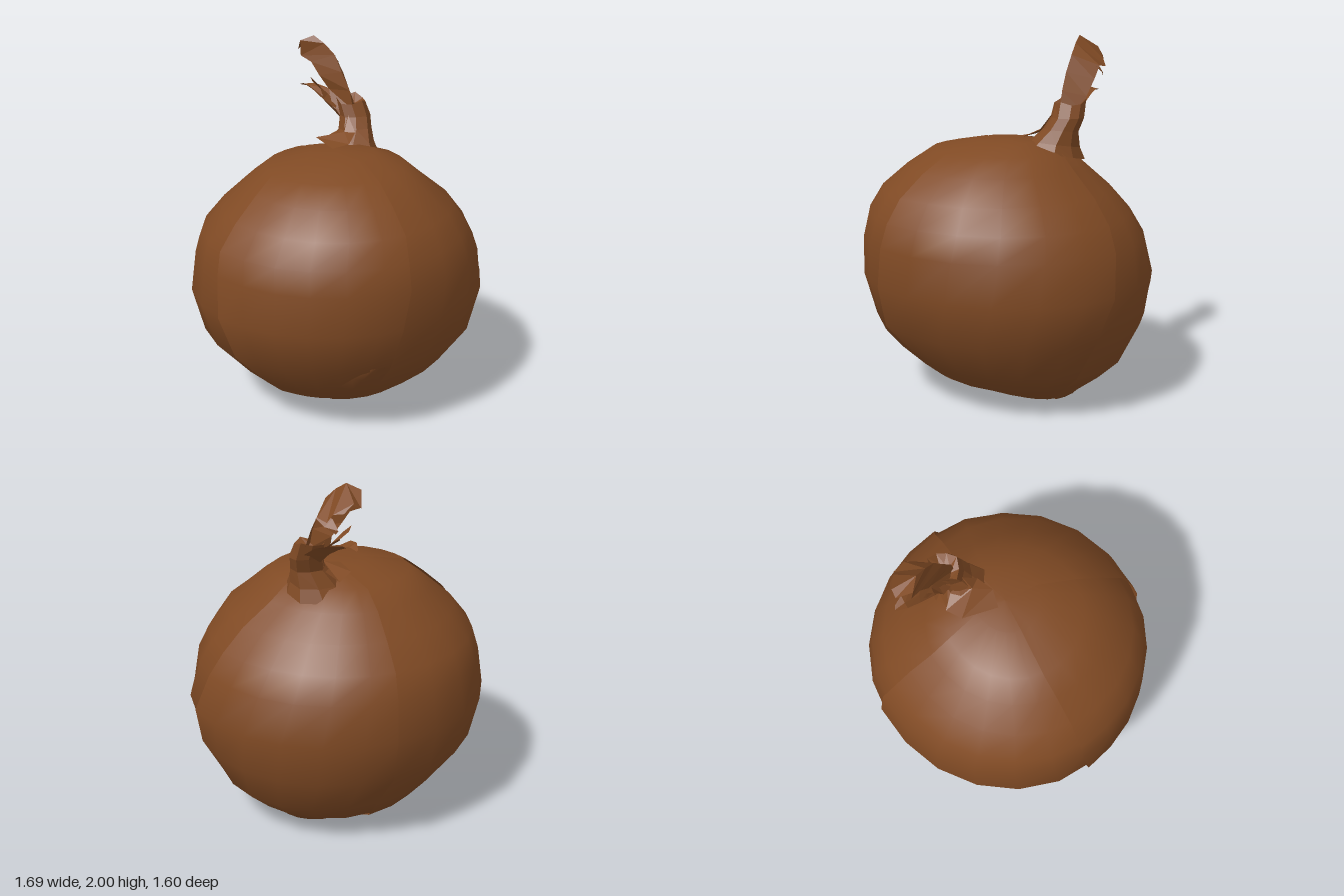
import * as THREE from 'three';

const skin = new THREE.MeshStandardMaterial({ color: 0x804a24, side: THREE.DoubleSide });
skin.name = 'brown onion skin';

// Bulb cross-sections: y, xMin, xMax, zMin, zMax
const RINGS = [
  [0.005, 0.1, 0.1, -0.05, -0.05],
  [0.01, -0.08, 0.39, -0.30, 0.10],
  [0.04, -0.32, 0.43, -0.35, 0.20],
  [0.13, -0.45, 0.55, -0.53, 0.41],
  [0.24, -0.57, 0.68, -0.62, 0.54],
  [0.46, -0.77, 0.79, -0.76, 0.73],
  [0.70, -0.84, 0.84, -0.80, 0.79],
  [0.92, -0.81, 0.78, -0.77, 0.79],
  [1.05, -0.78, 0.71, -0.70, 0.75],
  [1.18, -0.68, 0.60, -0.59, 0.68],
  [1.30, -0.54, 0.45, -0.46, 0.54],
  [1.39, -0.42, 0.35, -0.35, 0.40],
  [1.44, -0.17, 0.20, -0.16, 0.19],
  [1.445, 0.02, 0.02, 0, 0],
];

// Point on the bulb at a height and angle, pushed outwards by lift
function onBulb(y, angle, lift = 0) {
  let i = 0;
  while (i < RINGS.length - 2 && y > RINGS[i + 1][0]) i++;
  const a = RINGS[i], b = RINGS[i + 1];
  const t = (y - a[0]) / (b[0] - a[0]);
  const [, x0, x1, z0, z1] = a.map((v, k) => v + (b[k] - v) * t);
  const rx = (x1 - x0) / 2, rz = (z1 - z0) / 2;
  const k = rx > 0 ? lift : 0;
  return [(x0 + x1) / 2 + (rx + k) * Math.cos(angle), y, (z0 + z1) / 2 + (rz + k) * Math.sin(angle)];
}

// Surface through rows of points; flat gives faceted shading
function sheet(name, rows, flat = false) {
  const n = rows[0].length, index = [];
  for (let r = 0; r < rows.length - 1; r++) {
    for (let c = 0; c < n - 1; c++) {
      const a = r * n + c, b = a + n;
      index.push(a, b, a + 1, a + 1, b, b + 1);
    }
  }
  let geo = new THREE.BufferGeometry();
  geo.setAttribute('position', new THREE.Float32BufferAttribute(rows.flat(2), 3));
  geo.setIndex(index);
  if (flat) geo = geo.toNonIndexed();
  geo.computeVertexNormals();
  const mesh = new THREE.Mesh(geo, skin);
  mesh.name = name;
  return mesh;
}

export function createModel() {
  const onion = new THREE.Group();
  onion.name = 'onion';

  // Four overlapping skin panels, each seam given as [angle at bottom, angle at top]
  const H = Math.PI / 2;
  const seams = [[0.35, -0.35], [H + 0.38, H - 0.02], [2 * H - 0.3, 2 * H + 0.1], [3 * H, 3 * H + 0.05]];
  const SEG = 6;
  seams.forEach((s, p) => {
    const e = p < 3 ? seams[p + 1] : seams[0].map(v => v + 4 * H);
    const rows = RINGS.map(([y]) => {
      const t = y / 1.445, row = [];
      const from = s[0] + (s[1] - s[0]) * t - 0.06, to = e[0] + (e[1] - e[0]) * t;
      for (let i = 0; i <= SEG; i++) {
        const lift = i === 0 ? -0.008 : i === SEG ? 0.008 : 0;
        row.push(onBulb(y, from + (to - from) * i / SEG, lift));
      }
      return row;
    });
    onion.add(sheet('skinPanel' + (p + 1), rows));
  });

  // Torn skin low on the front: y, left angle, right angle, lift
  const tear = [
    [0.03, 2.0, 1.72, 0.006], [0.13, 2.25, 1.66, 0.012], [0.2, 2.35, 1.68, 0.02],
    [0.3, 2.2, 1.84, 0.03], [0.4, 2.08, 1.88, 0.025], [0.48, 1.95, 1.85, 0.006],
  ];
  onion.add(sheet('tornSkin', tear.map(([y, a, b, lift]) =>
    [0, 1, 2, 3].map(i => onBulb(y, a + (b - a) * i / 3, i % 3 ? lift : 0.004)))));

  // Pinched neck: centre x, y, z, half width x, half width z, slope of ring towards the back
  const neck = [
    [0.19, 1.36, -0.16, 0.18, 0.17, 0.2], [0.21, 1.42, -0.16, 0.14, 0.13, 0.16],
    [0.25, 1.50, -0.17, 0.10, 0.085, 0.1], [0.27, 1.57, -0.20, 0.095, 0.08, 0],
    [0.26, 1.645, -0.23, 0.09, 0.08, -0.1], [0.25, 1.62, -0.24, 0.05, 0.04, 0],
  ];
  const SIDES = 9;
  onion.add(sheet('neck', neck.map(([x, y, z, rx, rz, slope], r) => {
    const row = [];
    for (let i = 0; i <= SIDES; i++) {
      const a = -i / SIDES * Math.PI * 2;
      const k = 1 + (i % SIDES % 2 ? 0.07 : -0.04);
      const dz = rz * k * Math.sin(a);
      row.push([x + rx * k * Math.cos(a), y + slope * dz + (r === 4 && i % 3 === 1 ? 0.02 : 0), z + dz]);
    }
    return row;
  }), true));

  // Loose pointed fold of skin beside the neck
  onion.add(sheet('neckFold', [
    [[0.0, 1.447, -0.05], [0.03, 1.46, -0.25], [0.12, 1.43, -0.3]],
    [[0.1, 1.46, -0.03], [0.14, 1.5, -0.13], [0.18, 1.48, -0.24]],
    [[0.18, 1.5, -0.08], [0.19, 1.58, -0.16], [0.2, 1.58, -0.25]],
  ], true));

  // Dried leaves curling backwards: rows of left edge, middle, right edge
  onion.add(sheet('tallLeaf', [
    [[0.17, 1.6, -0.28], [0.24, 1.6, -0.18], [0.32, 1.6, -0.27]],
    [[0.18, 1.7, -0.33], [0.23, 1.71, -0.2], [0.31, 1.68, -0.31]],
    [[0.14, 1.78, -0.37], [0.21, 1.81, -0.25], [0.31, 1.77, -0.37]],
    [[0.12, 1.85, -0.42], [0.2, 1.9, -0.3], [0.3, 1.84, -0.42]],
    [[0.09, 1.88, -0.48], [0.17, 1.96, -0.36], [0.28, 1.83, -0.49]],
    [[0.08, 1.97, -0.47], [0.14, 2.0, -0.42], [0.25, 1.87, -0.5]],
    [[0.12, 1.9, -0.55], [0.16, 1.93, -0.55], [0.21, 1.88, -0.54]],
  ], true));
  onion.add(sheet('leafHook', [
    [[0.27, 1.86, -0.4], [0.3, 1.83, -0.4]],
    [[0.24, 1.84, -0.47], [0.28, 1.8, -0.46]],
    [[0.23, 1.79, -0.52], [0.24, 1.77, -0.51]],
  ], true));
  onion.add(sheet('lowLeaf', [
    [[0.17, 1.6, -0.25], [0.22, 1.53, -0.25], [0.32, 1.59, -0.26]],
    [[0.14, 1.65, -0.34], [0.21, 1.6, -0.33], [0.28, 1.65, -0.34]],
    [[0.12, 1.7, -0.43], [0.18, 1.65, -0.41], [0.24, 1.68, -0.42]],
    [[0.12, 1.71, -0.5], [0.16, 1.69, -0.5], [0.2, 1.7, -0.5]],
    [[0.14, 1.69, -0.56], [0.15, 1.685, -0.56], [0.17, 1.69, -0.55]],
  ], true));
  onion.add(sheet('smallLeaf', [
    [[0.16, 1.61, -0.24], [0.22, 1.62, -0.3]],
    [[0.12, 1.66, -0.3], [0.18, 1.67, -0.34]],
    [[0.13, 1.72, -0.35], [0.15, 1.7, -0.38]],
    [[0.1, 1.77, -0.4], [0.12, 1.74, -0.41]],
  ], true));

  return onion;
}
